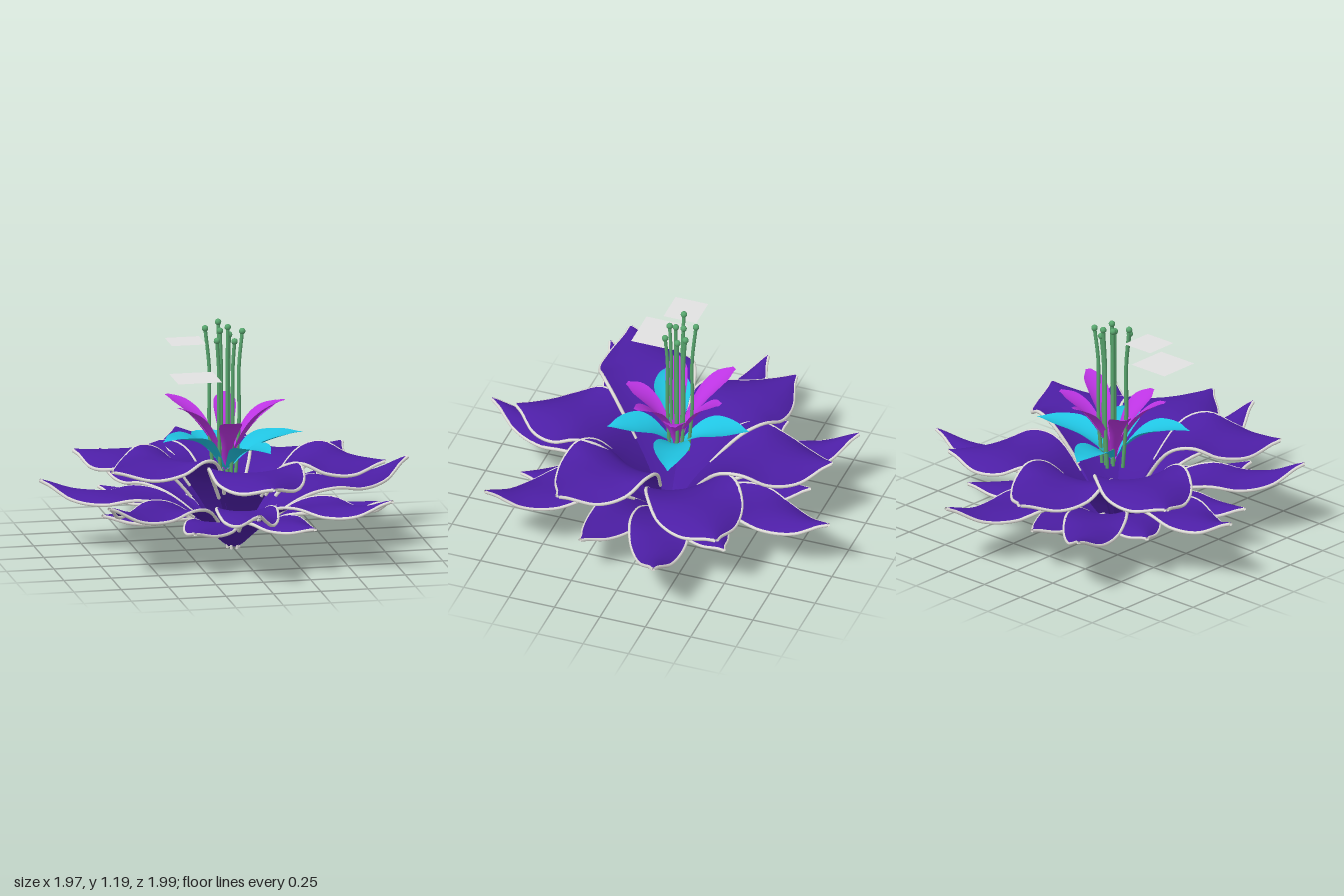
import * as THREE from 'three';

const mat = (name, color) => new THREE.MeshStandardMaterial({ name, color, side: THREE.DoubleSide });
const M = {
  purple: mat('violet petal', 0x4c1ea4),
  rim: mat('pale rim', 0xe0ded9),
  cyan: mat('turquoise petal', 0x20c4e2),
  magenta: mat('magenta petal', 0xbc34e2),
  green: mat('stamen green', 0x58a66e),
  grey: mat('card grey', 0xe1e1e1),
};

// Smooth interpolation of evenly spaced values, t in 0..1
function spline(values) {
  const n = values.length - 1;
  const curve = new THREE.SplineCurve(values.map((v, i) => new THREE.Vector2(i / n, v)));
  return t => curve.getPoint(t).y;
}

// Width outlines from base to tip
const BROAD = spline([0.1, 0.44, 0.84, 1, 0.94, 0.6, 0.03]);
const LEAF = spline([0.14, 0.46, 0.82, 1, 0.88, 0.53, 0.02]);
const PADDLE = spline([0.28, 0.38, 0.6, 0.86, 1, 0.88, 0.25]);
const INNER_CUP = spline([0, 0.015, 0.03, 0.03, 0.02, 0.01, 0]);

// One petal from base to tip; cup(u) lifts or drops its edges. Rim tubes are optional
function petal(name, material, { base, tip, rise, width, half, cup, power = 1, rim = 0 }) {
  const group = new THREE.Group();
  group.name = name;
  const dx = tip[0] - base[0], dz = tip[2] - base[2], len = Math.hypot(dx, dz);
  const sx = -dz / len, sz = dx / len;
  const at = (u, v) => {
    const w = half * width(u) * v, r = Math.pow(u, power);
    return new THREE.Vector3(
      base[0] + dx * r + sx * w,
      base[1] + (tip[1] - base[1]) * rise(u) + v * v * cup(u),
      base[2] + dz * r + sz * w);
  };
  const U = 24, V = 10;
  const geo = new THREE.PlaneGeometry(1, 1, V, U);
  const pos = geo.attributes.position;
  for (let j = 0; j <= U; j++)
    for (let i = 0; i <= V; i++) {
      const p = at(1 - j / U, 1 - 2 * i / V);
      pos.setXYZ(j * (V + 1) + i, p.x, p.y, p.z);
    }
  geo.computeVertexNormals();
  const blade = new THREE.Mesh(geo, material);
  blade.name = name + 'Blade';
  group.add(blade);
  if (rim) for (const side of [-1, 1]) {
    // The rim fades out towards the crowded base
    const pts = Array.from({ length: 17 }, (_, i) => at(0.2 + 0.8 * i / 16, side));
    const edge = new THREE.Mesh(
      new THREE.TubeGeometry(new THREE.CatmullRomCurve3(pts), 36, rim, 6), M.rim);
    edge.name = name + 'Rim';
    edge.position.y = -0.8 * rim;
    group.add(edge);
  }
  return group;
}

export function createModel() {
  const flower = new THREE.Group();
  flower.name = 'flower';
  const root = ([x, , z], y) => {
    const r = Math.hypot(x, z);
    return [0.02 * x / r, y, 0.02 * z / r];
  };

  // Six broad upper petals: a steep funnel that opens flat, edges drooping further out
  const upperRise = spline([0, 0.47, 0.83, 0.98, 1.02, 1.01, 1]);
  const upperCup = spline([0, 0.02, 0.055, 0.035, -0.035, -0.05, 0]);
  [[-0.12, 0.44, -0.86], [0.68, 0.41, -0.52], [0.73, 0.51, 0.33],
    [0.05, 0.51, 0.81], [-0.73, 0.56, 0.47], [-0.75, 0.46, -0.43]].forEach(tip =>
    flower.add(petal('upperPetal', M.purple, {
      base: root(tip, 0.03), tip, rise: upperRise, width: BROAD,
      half: 0.24, cup: upperCup, rim: 0.0095,
    })));

  // Seven long pointed middle petals, turned up at the tips
  const middleRise = spline([0, 0.37, 0.62, 0.75, 0.8, 0.86, 1]);
  const middleCup = spline([0, 0.01, 0.03, 0.015, -0.03, -0.035, 0]);
  [[0.275, 0.35, -0.99], [0.98, 0.37, -0.285], [0.68, 0.4, 0.75], [-0.07, 0.42, 0.99],
    [-0.78, 0.4, 0.6], [-0.98, 0.37, -0.19], [-0.53, 0.35, -0.86]].forEach(tip =>
    flower.add(petal('middlePetal', M.purple, {
      base: root(tip, 0.02), tip, rise: middleRise, width: LEAF,
      half: 0.155, cup: middleCup, rim: 0.009,
    })));

  // Seven short lower petals in the gaps between the middle ones
  const lowerRise = spline([0, 0.4, 0.7, 0.88, 0.95, 0.98, 1]);
  const lowerCup = spline([0, 0.01, 0.02, 0, -0.03, -0.03, 0]);
  for (const degrees of [16, 68, 117, 165, 215, 262, 317]) {
    const a = THREE.MathUtils.degToRad(degrees);
    const tip = [0.755 * Math.cos(a), 0.26, 0.755 * Math.sin(a)];
    flower.add(petal('lowerPetal', M.purple, {
      base: root(tip, 0.012), tip, rise: lowerRise, width: LEAF,
      half: 0.14, cup: lowerCup, rim: 0.009,
    }));
  }

  // Short pale stubs gathered under the flower
  for (let i = 0; i < 6; i++) {
    const a = i * Math.PI / 3;
    const stub = new THREE.Mesh(new THREE.CylinderGeometry(0.008, 0.008, 0.07, 6), M.rim);
    stub.name = 'baseStub';
    stub.position.set(0.03 * Math.cos(a), 0.035, 0.03 * Math.sin(a));
    flower.add(stub);
  }

  // Four turquoise petals around the heart
  const heart = [-0.03, 0.41, -0.04];
  const cyanRise = spline([0, 0.4, 0.7, 0.88, 0.98, 1.03, 1]);
  [[-0.11, 0.53, -0.41], [0.4, 0.56, -0.15], [0.14, 0.56, 0.28], [-0.4, 0.615, 0.14]].forEach(tip =>
    flower.add(petal('turquoisePetal', M.cyan, {
      base: heart, tip, rise: cyanRise, width: LEAF, half: 0.095, cup: INNER_CUP,
    })));

  // Six upright magenta petals
  const magentaRise = spline([0, 0.22, 0.43, 0.63, 0.8, 0.92, 1]);
  [[-0.3, 0.77, -0.26], [0.015, 0.76, -0.3], [0.26, 0.74, -0.13],
    [0.255, 0.795, 0.08], [-0.05, 0.72, 0.24], [-0.3, 0.77, 0.06]].forEach(tip =>
    flower.add(petal('magentaPetal', M.magenta, {
      base: heart, tip, rise: magentaRise, width: PADDLE, half: 0.058, cup: INNER_CUP, power: 1.2,
    })));

  // Slender stamens with rounded heads
  [[-0.14, 1.165, -0.04], [-0.09, 1.11, 0.02], [-0.055, 1.14, -0.07], [-0.05, 1.17, -0.14],
    [-0.02, 1.165, -0.04], [0, 1.11, -0.1], [0.005, 1.1, 0.01], [0.065, 1.13, -0.08]].forEach(([x, y, z]) => {
    const stamen = new THREE.Group();
    stamen.name = 'stamen';
    const mx = heart[0] + (x - heart[0]) * 0.8, mz = heart[2] + (z - heart[2]) * 0.8;
    const path = new THREE.CatmullRomCurve3([
      new THREE.Vector3(heart[0] + (x - heart[0]) * 0.6, 0.38, heart[2] + (z - heart[2]) * 0.6),
      new THREE.Vector3(mx, 0.65, mz),
      new THREE.Vector3(mx, 0.95, mz),
      new THREE.Vector3(x, y, z)]);
    const stalk = new THREE.Mesh(new THREE.TubeGeometry(path, 20, 0.0095, 8), M.green);
    stalk.name = 'stamenStalk';
    const head = new THREE.Mesh(new THREE.SphereGeometry(0.017, 12, 8), M.green);
    head.name = 'stamenHead';
    head.position.set(x, y, z);
    stamen.add(stalk, head);
    flower.add(stamen);
  });

  // Two flat square cards floating beside the stamens
  [[0.18, -0.25, 1.11, -0.01], [0.23, -0.225, 0.945, 0.125]].forEach(([size, x, y, z]) => {
    const card = new THREE.Mesh(new THREE.PlaneGeometry(size, size).rotateX(-Math.PI / 2), M.grey);
    card.name = 'floatingCard';
    card.position.set(x, y, z);
    flower.add(card);
  });

  return flower;
}
